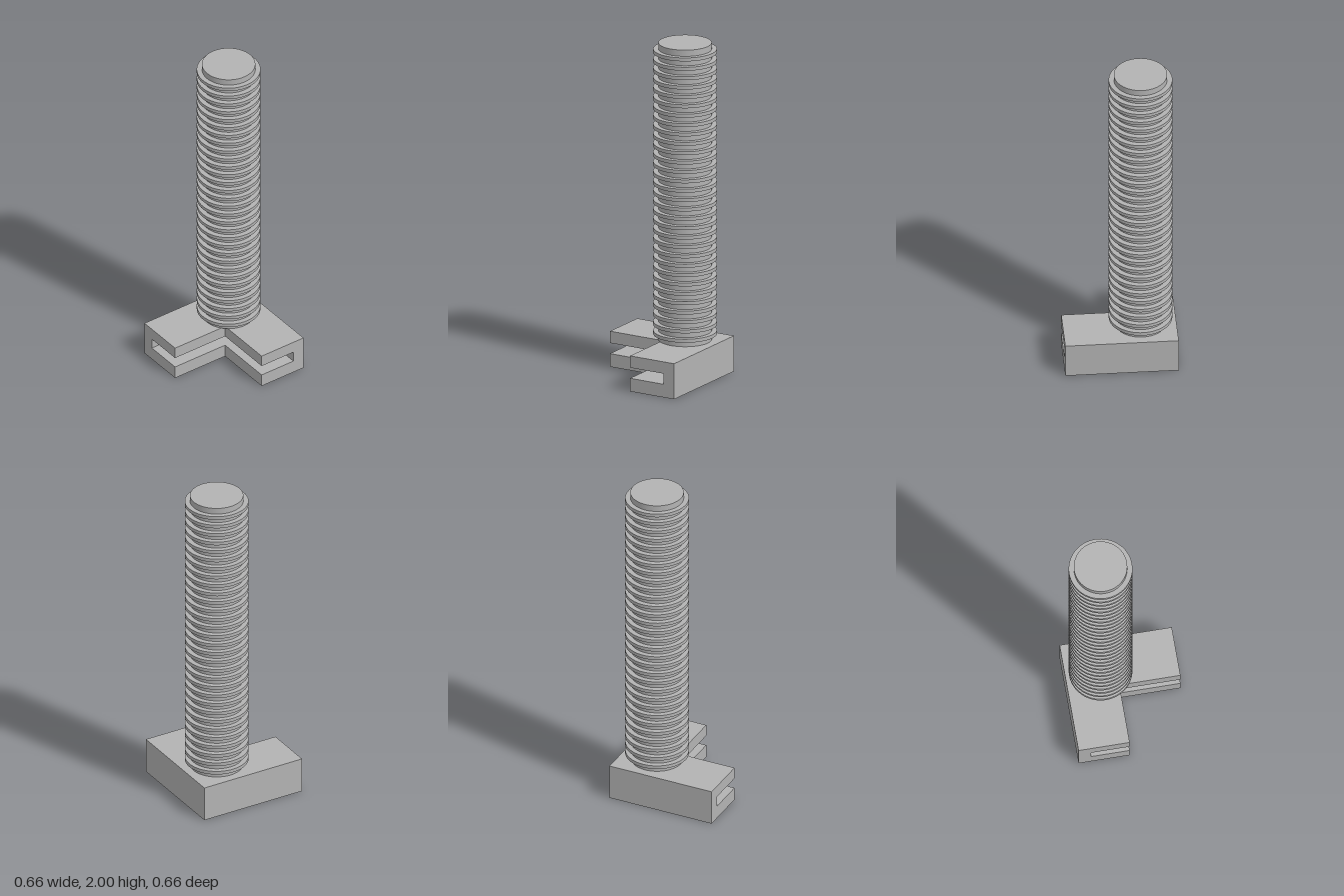
import * as THREE from 'three';
import { toCreasedNormals } from 'three/addons/utils/BufferGeometryUtils.js';

const HALF = 0.328;      // half the footprint of the base
const BASE_TOP = 0.214;
const AXIS = -0.123;     // x and z of the shaft axis

// L-shaped slab whose outer corner is at the back right, with arms of the given width
function lSlab(width, y0, y1) {
  const inner = -HALF + width;
  const shape = new THREE.Shape([
    [-HALF, -HALF], [inner, -HALF], [inner, -inner],
    [HALF, -inner], [HALF, HALF], [-HALF, HALF],
  ].map(([x, y]) => new THREE.Vector2(x, y)));
  const geo = new THREE.ExtrudeGeometry(shape, { depth: y1 - y0, bevelEnabled: false });
  return geo.rotateX(-Math.PI / 2).translate(0, y0, 0);
}

export function createModel() {
  const group = new THREE.Group();
  const grey = new THREE.MeshStandardMaterial({ color: 0xb3b3b3 });
  grey.name = 'grey';
  const add = (name, geo, parent = group) => {
    const mesh = new THREE.Mesh(geo, grey);
    mesh.name = name;
    parent.add(mesh);
    return mesh;
  };

  // Bracket: two plates joined by a thin wall, leaving a slot open to the inside
  const bracket = new THREE.Group();
  bracket.name = 'bracket';
  group.add(bracket);
  add('bottomPlate', lSlab(0.299, 0, 0.079), bracket);
  add('slotWall', lSlab(0.072, 0.079, 0.143), bracket);
  add('topPlate', lSlab(0.299, 0.143, BASE_TOP), bracket);

  // Round shaft
  const shaftHeight = 2 - BASE_TOP;
  add('shaft', new THREE.CylinderGeometry(0.154, 0.154, shaftHeight, 64))
    .position.set(AXIS, BASE_TOP + shaftHeight / 2, AXIS);

  // Evenly stacked ridges around the shaft
  const ridges = new THREE.Group();
  ridges.name = 'ridges';
  ridges.position.set(AXIS, 0, AXIS);
  group.add(ridges);
  const profile = [[0.153, -0.0105], [0.184, -0.0105], [0.184, 0.0105], [0.153, 0.0105]]
    .map(([r, y]) => new THREE.Vector2(r, y));
  const ridgeGeo = toCreasedNormals(new THREE.LatheGeometry(profile, 64), 0.6);
  const count = 31;
  for (let i = 0; i < count; i++) {
    add('ridge', ridgeGeo, ridges).position.y = 0.258 + (i / (count - 1)) * (1.952 - 0.258);
  }

  return group;
}
